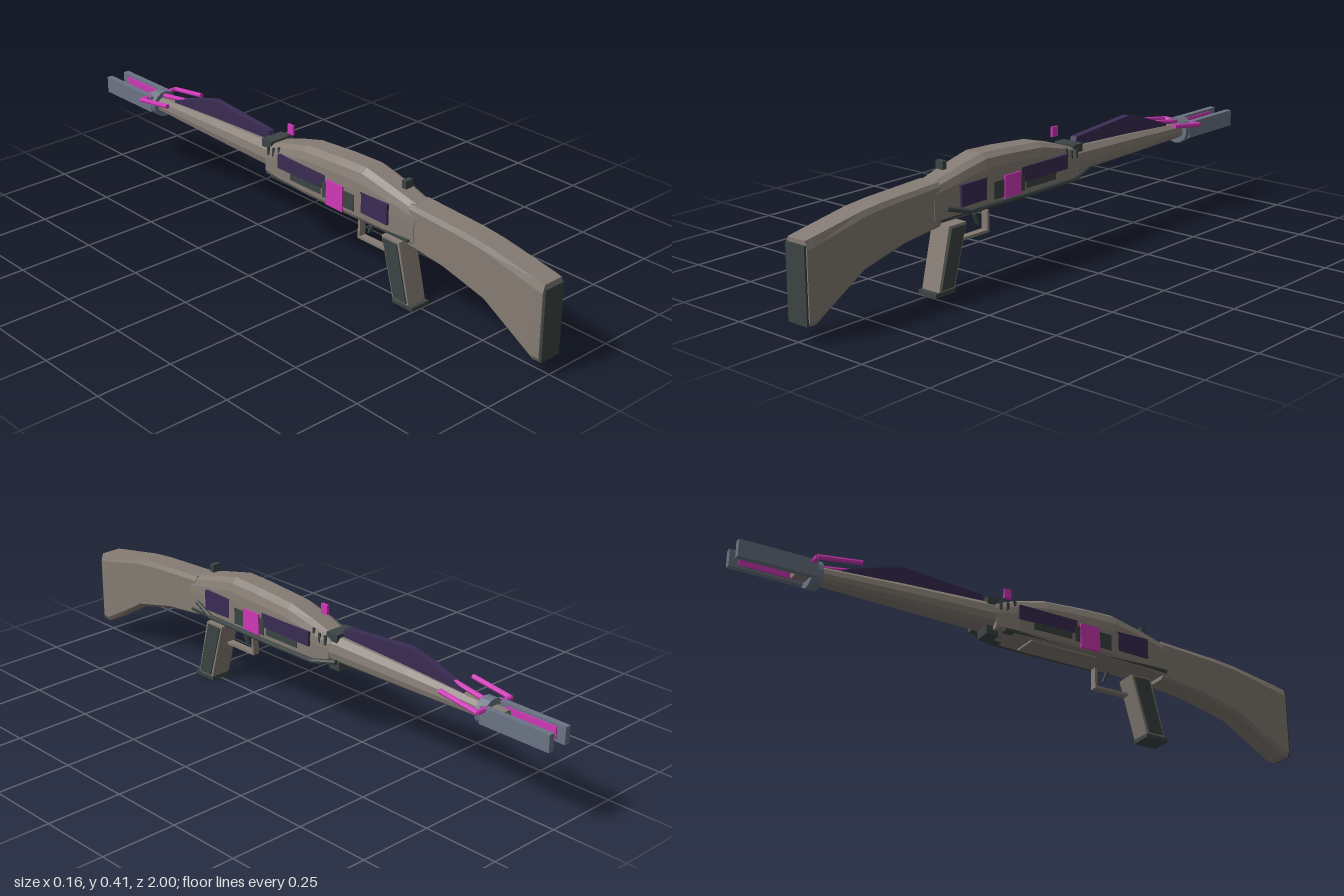
import * as THREE from 'three';

const mat = (name, color) => {
  const m = new THREE.MeshStandardMaterial({ color, flatShading: true });
  m.name = name;
  return m;
};

export function createModel() {
  const grey = mat('warm grey body', 0x857c74);
  const dark = mat('dark green metal', 0x3c4544);
  const purple = mat('deep purple', 0x3a2c54);
  const pink = mat('magenta glow', 0xd038b8);
  const steel = mat('blue grey steel', 0x6b7485);
  const root = new THREE.Group();
  root.name = 'rifle';

  const add = (name, geo, material) => {
    const m = new THREE.Mesh(geo, material);
    m.name = name;
    root.add(m);
    return m;
  };
  // Box given by its limits on each axis
  const box = (name, material, x0, x1, y0, y1, z0, z1) => {
    const m = add(name, new THREE.BoxGeometry(x1 - x0, y1 - y0, Math.abs(z1 - z0)), material);
    m.position.set((x0 + x1) / 2, (y0 + y1) / 2, (z0 + z1) / 2);
    return m;
  };
  // Side outline of [z, y] points, extruded across x
  const slab = (name, material, pts, width, x = 0) => {
    const shape = new THREE.Shape(pts.map(([z, y]) => new THREE.Vector2(-z, y)));
    const g = new THREE.ExtrudeGeometry(shape, { depth: width, bevelEnabled: false });
    g.rotateY(Math.PI / 2).translate(x - width / 2, 0, 0);
    return add(name, g, material);
  };
  // Round bar through a list of points
  const bar = (name, material, pts, radius, sides = 8) => {
    for (let i = 1; i < pts.length; i++) {
      const a = new THREE.Vector3(...pts[i - 1]), b = new THREE.Vector3(...pts[i]);
      const d = b.clone().sub(a);
      const m = add(name, new THREE.CylinderGeometry(radius, radius, d.length() + radius * 0.6, sides), material);
      m.position.copy(a).add(b).multiplyScalar(0.5);
      m.quaternion.setFromUnitVectors(new THREE.Vector3(0, 1, 0), d.normalize());
    }
  };
  // Half profile [u, v] (bottom to top) swept through stations [z, bottom, top, halfWidth]
  const loft = (name, material, half, stations) => {
    const prof = [...half, ...half.map(([u, v]) => [-u, v]).reverse()];
    const n = prof.length, pos = [], idx = [];
    for (const [z, b, t, w] of stations) for (const [u, v] of prof) pos.push(u * w, b + v * (t - b), z);
    for (let i = 0; i < stations.length - 1; i++) {
      for (let j = 0; j < n; j++) {
        const a = i * n + j, b = i * n + (j + 1) % n, c = b + n, d = a + n;
        idx.push(a, c, b, a, d, c);
      }
    }
    const last = (stations.length - 1) * n;
    for (let j = 1; j < n - 1; j++) idx.push(0, j, j + 1, last, last + j + 1, last + j);
    let g = new THREE.BufferGeometry();
    g.setAttribute('position', new THREE.Float32BufferAttribute(pos, 3));
    g.setIndex(idx);
    g = g.toNonIndexed();
    g.computeVertexNormals();
    return add(name, g, material);
  };

  // Stock and butt plate
  const stockHalf = [[0.8, 0], [1, 0.06], [1, 0.9], [0.82, 1]];
  loft('stock', grey, stockHalf, [
    [0.993, 0.05, 0.295, 0.042], [0.965, 0.05, 0.3, 0.044], [0.78, 0.16, 0.333, 0.044],
    [0.7, 0.18, 0.341, 0.044], [0.62, 0.2, 0.345, 0.044], [0.48, 0.217, 0.352, 0.044]]);
  box('buttPlate', dark, -0.038, 0.038, 0.052, 0.282, 0.992, 1);

  // Receiver with a rounded hump
  const bodyHalf = [[0.9, 0], [1, 0.08], [1, 0.55], [0.96, 0.75], [0.83, 0.91], [0.5, 1]];
  loft('receiver', grey, bodyHalf, [
    [0.505, 0.228, 0.348, 0.046], [0.4, 0.232, 0.376, 0.056], [0.29, 0.234, 0.401, 0.06],
    [0.18, 0.234, 0.397, 0.061], [0.03, 0.234, 0.386, 0.06], [-0.07, 0.235, 0.36, 0.057],
    [-0.15, 0.24, 0.333, 0.049]]);
  box('lowerReceiver', grey, -0.042, 0.042, 0.228, 0.25, 0.22, -0.02);

  // Forend and barrel
  const barrelHalf = [[0.5, 0], [0.9, 0.18], [1, 0.45], [0.9, 0.78], [0.5, 1]];
  loft('barrel', grey, barrelHalf, [
    [-0.14, 0.25, 0.335, 0.05], [-0.45, 0.253, 0.322, 0.041], [-0.74, 0.257, 0.305, 0.03],
    [-0.81, 0.26, 0.3, 0.027]]);

  // Band where the barrel meets the receiver
  box('bandTop', dark, -0.04, 0.04, 0.318, 0.346, -0.132, -0.176);
  box('bandBlock', dark, -0.028, 0.028, 0.222, 0.262, -0.132, -0.174);

  // Top fin and its glowing tip
  slab('topFin', purple, [[-0.165, 0.32], [-0.18, 0.36], [-0.45, 0.382], [-0.54, 0.358], [-0.66, 0.318], [-0.66, 0.3]], 0.024);
  bar('finTip', pink, [[0, 0.327, -0.62], [0, 0.307, -0.75]], 0.008);

  // Sights
  box('frontSight', pink, -0.004, 0.004, 0.378, 0.41, -0.07, -0.096);
  box('rearSight', dark, -0.014, 0.014, 0.376, 0.402, 0.422, 0.438);

  // Muzzle collar
  const collar = add('muzzleCollar', new THREE.CylinderGeometry(0.045, 0.045, 0.035, 16), steel);
  collar.rotation.x = Math.PI / 2;
  collar.position.set(0, 0.28, -0.749);

  for (const s of [1, -1]) {
    const side = (name, material, xIn, xOut, ...rest) =>
      box(name, material, Math.min(s * xIn, s * xOut), Math.max(s * xIn, s * xOut), ...rest);
    // Muzzle prongs with glowing inner faces
    side('muzzleProng', steel, 0.025, 0.045, 0.255, 0.31, -0.75, -1);
    side('prongGlow', pink, 0.021, 0.026, 0.263, 0.302, -0.79, -0.97);
    // Side rods by the muzzle
    bar('sideRod', pink, [[s * 0.035, 0.304, -0.765], [s * 0.072, 0.304, -0.765], [s * 0.072, 0.323, -0.625]], 0.008);
    // Receiver side panels
    const rear = side('rearPanel', purple, 0.052, 0.061, 0.265, 0.332, 0.41, 0.268);
    rear.rotation.y = s * 0.03;
    side('middlePanel', dark, 0.05, 0.0625, 0.258, 0.312, 0.268, 0.13);
    side('glowPanel', pink, 0.05, 0.066, 0.24, 0.324, 0.222, 0.15);
    const front = side('frontPanel', purple, 0.053, 0.0625, 0.285, 0.332, 0.14, -0.075);
    front.rotation.y = -s * 0.015;
    side('panelStep', dark, 0.048, 0.0615, 0.262, 0.285, 0.12, -0.02);
    side('lowerRail', dark, 0.03, 0.056, 0.236, 0.244, 0.49, -0.12);
    // Small pins over the front panel
    [-0.055, -0.085, -0.11, -0.135].forEach((z, i) =>
      side('panelPin', dark, 0.046, 0.052, 0.305, i === 1 ? 0.346 : 0.336, z + 0.004, z - 0.004));
    // Grip cheeks
    slab('gripCheek', dark, [[0.428, 0.2], [0.37, 0.2], [0.422, 0.018], [0.475, 0.018]], 0.006, s * 0.036);
  }

  // Handle bar along the left side
  bar('handleBar', dark, [[0.053, 0.27, 0.46], [0.068, 0.248, 0.38], [0.071, 0.246, 0.1],
    [0.071, 0.248, -0.1], [0.055, 0.265, -0.185]], 0.008);

  // Grip and its base
  slab('grip', grey, [[0.436, 0.207], [0.362, 0.207], [0.416, 0.01], [0.483, 0.01]], 0.07);
  box('gripBase', dark, -0.036, 0.036, 0, 0.013, 0.498, 0.414);

  // Trigger and guard
  box('guardBottom', grey, -0.012, 0.012, 0.14, 0.149, 0.362, 0.236);
  box('guardFront', grey, -0.012, 0.012, 0.14, 0.21, 0.245, 0.236);
  slab('trigger', dark, [[0.296, 0.208], [0.285, 0.208], [0.271, 0.17], [0.277, 0.17]], 0.012);

  return root;
}
